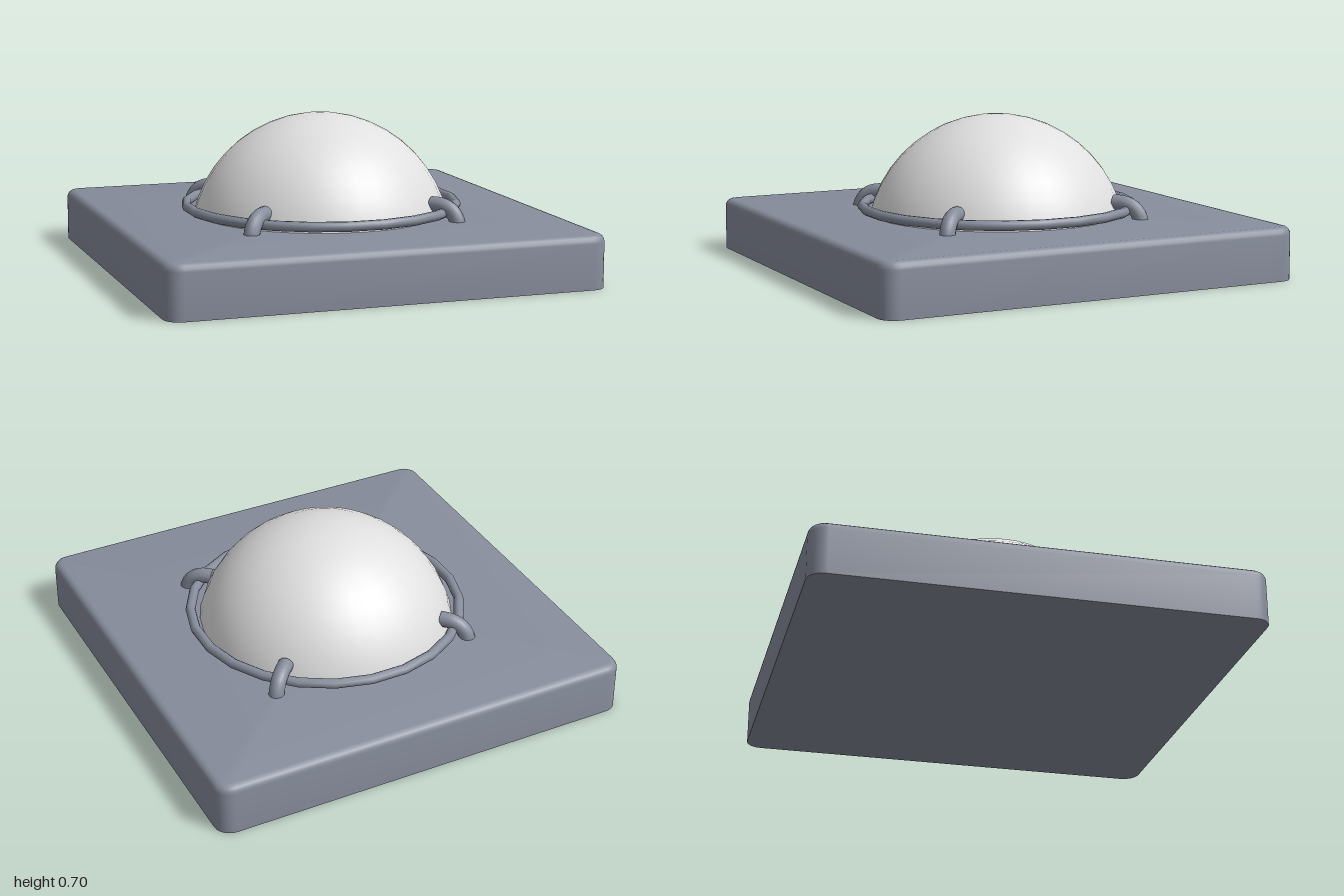
import * as THREE from 'three';
import { toCreasedNormals } from 'three/addons/utils/BufferGeometryUtils.js';

// Square slab with rounded upright corners and a rounded top rim, lofted from stacked outlines
function slabGeometry(half, height, corner, bevel) {
  const rows = [[0, 0]]; // [inset, y]
  for (let i = 0; i <= 4; i++) {
    const a = (i / 4) * Math.PI / 2;
    rows.push([bevel * (1 - Math.cos(a)), height - bevel + bevel * Math.sin(a)]);
  }
  const steps = 6, n = 4 * (steps + 1);
  const pos = [], idx = [];
  for (const [inset, y] of rows) {
    for (let c = 0; c < 4; c++) {
      const mid = Math.PI / 4 + c * Math.PI / 2;
      const cx = Math.sign(Math.cos(mid)) * (half - corner);
      const cz = Math.sign(Math.sin(mid)) * (half - corner);
      for (let s = 0; s <= steps; s++) {
        const a = (c + s / steps) * Math.PI / 2;
        pos.push(cx + Math.cos(a) * (corner - inset), y, cz + Math.sin(a) * (corner - inset));
      }
    }
  }
  const last = (rows.length - 1) * n, bottom = rows.length * n, top = bottom + 1;
  pos.push(0, 0, 0, 0, height, 0);
  for (let i = 0; i < n; i++) {
    const j = (i + 1) % n;
    for (let r = 0; r < last; r += n) {
      idx.push(r + i, r + n + i, r + j, r + j, r + n + i, r + n + j);
    }
    idx.push(bottom, i, j, top, last + j, last + i);
  }
  const g = new THREE.BufferGeometry();
  g.setAttribute('position', new THREE.Float32BufferAttribute(pos, 3));
  g.setIndex(idx);
  return toCreasedNormals(g, 0.6);
}

export function createModel() {
  const metal = new THREE.MeshStandardMaterial({ color: 0x878d9c });
  metal.name = 'blue grey metal';
  const glass = new THREE.MeshStandardMaterial({ color: 0xe0e0e0 });
  glass.name = 'frosted white';

  const model = new THREE.Group();
  model.name = 'domeLamp';
  const add = (parent, name, geometry, material) => {
    const mesh = new THREE.Mesh(geometry, material);
    mesh.name = name;
    parent.add(mesh);
    return mesh;
  };

  add(model, 'base', slabGeometry(1, 0.242, 0.075, 0.035), metal);

  // Dome: a spherical cap sunk slightly into the base
  const R = 0.609, centreY = 0.091;
  const dome = add(model, 'dome',
    new THREE.SphereGeometry(R, 36, 10, 0, Math.PI * 2, 0, Math.acos((0.22 - centreY) / R)), glass);
  dome.position.set(0.003, centreY, -0.002);

  // Wire ring and the four hooks that hold it
  const cage = new THREE.Group();
  cage.name = 'retainer';
  cage.position.set(0.007, 0, -0.005);
  model.add(cage);

  const ring = add(cage, 'ring', new THREE.TorusGeometry(0.629, 0.023, 10, 24), metal);
  ring.rotation.set(-Math.PI / 2, 0, Math.PI / 24);
  ring.position.y = 0.277;

  const path = new THREE.CatmullRomCurve3([
    [0.693, 0.2], [0.687, 0.245], [0.66, 0.287], [0.615, 0.309], [0.558, 0.313],
  ].map(([r, y]) => new THREE.Vector3(r, y, 0)));
  const hookGeometry = new THREE.TubeGeometry(path, 12, 0.036, 12, false);
  const capGeometry = new THREE.CircleGeometry(0.036, 12);
  for (let i = 0; i < 4; i++) {
    const hook = new THREE.Group();
    hook.name = 'hook' + (i + 1);
    hook.rotation.y = Math.PI / 4 + i * Math.PI / 2;
    cage.add(hook);
    add(hook, 'hookBar', hookGeometry, metal);
    const cap = add(hook, 'hookEnd', capGeometry, metal);
    cap.position.copy(path.getPoint(1));
    cap.quaternion.setFromUnitVectors(new THREE.Vector3(0, 0, 1), path.getTangent(1));
  }
  return model;
}
